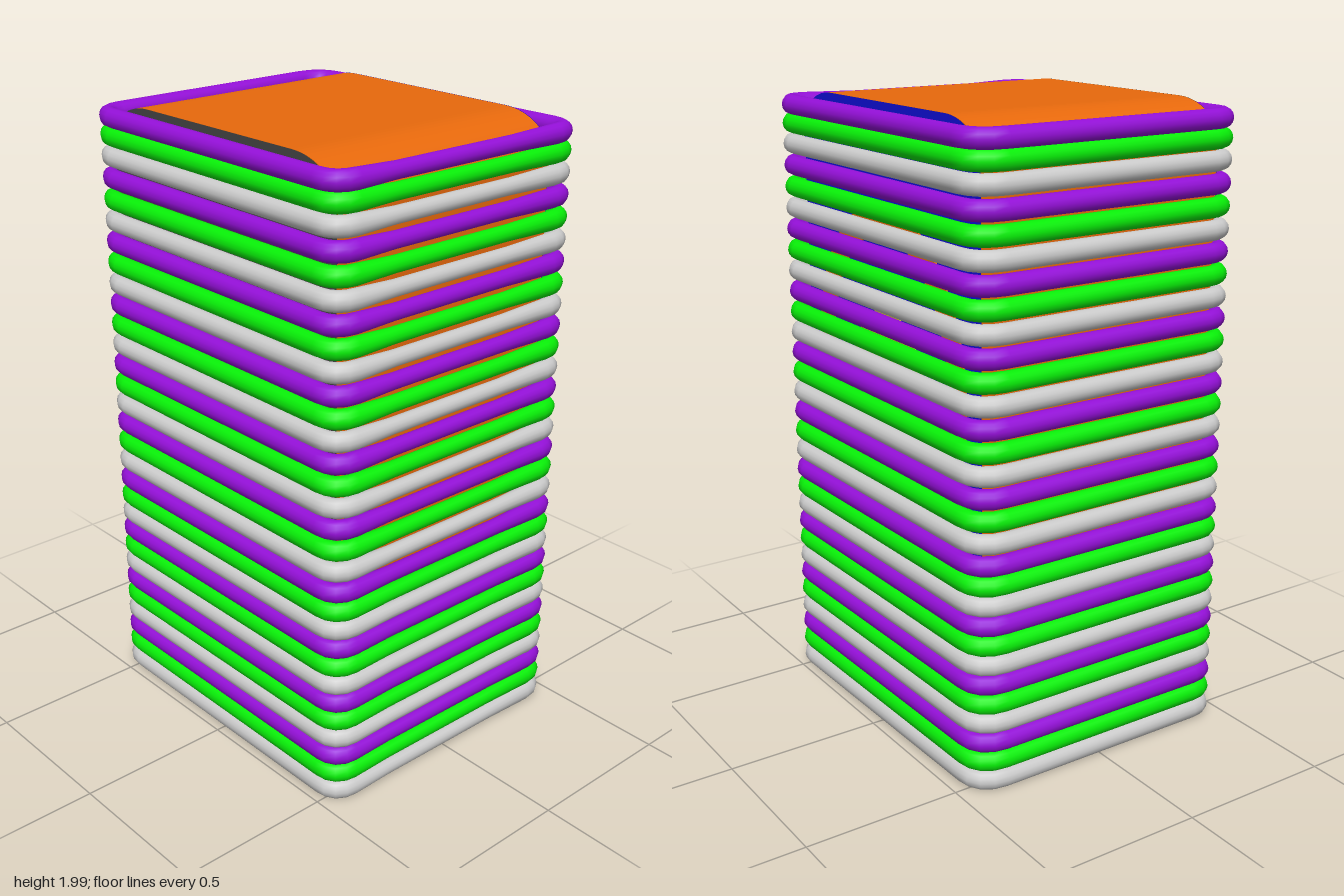
import * as THREE from 'three';

const mat = (color, extra = {}) => new THREE.MeshStandardMaterial({ color, ...extra });

// One closed loop of wire: a rounded rectangle path swept with a round section
function windingGeometry() {
  const corners = [ // x, z, rounding
    [-0.457, 0.536, 0.07], [0.458, 0.547, 0.07], [0.442, -0.547, 0.09], [-0.453, -0.547, 0.07],
  ];
  const path = [];
  corners.forEach(([x, z, r], i) => {
    const c = new THREE.Vector2(x, z);
    const next = corners[(i + 1) % 4], prev = corners[(i + 3) % 4];
    const toward = (o) => c.clone().add(new THREE.Vector2(o[0] - x, o[1] - z).setLength(r));
    const bend = new THREE.QuadraticBezierCurve(toward(prev), c, toward(next));
    bend.getPoints(4).forEach((p) => path.push({ p, s: 1 }));
    // the front run is slightly thinner along its middle
    if (i === 0) for (const m of [-0.25, 0.2]) path.push({ p: new THREE.Vector2(m, 0.543 + m * 0.012), s: 0.83 });
  });

  const sides = 14, n = path.length, pos = [], index = [];
  for (let i = 0; i < n; i++) {
    const { p, s } = path[i];
    const a = p.clone().sub(path[(i + n - 1) % n].p).normalize();
    const b = path[(i + 1) % n].p.clone().sub(p).normalize();
    const t = a.add(b).normalize();
    for (let j = 0; j < sides; j++) {
      const u = (j / sides) * Math.PI * 2;
      const out = 0.029 * s * Math.cos(u);
      pos.push(p.x - t.y * out, 0.031 * s * Math.sin(u), p.y + t.x * out);
      const i2 = (i + 1) % n, j2 = (j + 1) % sides;
      const q = [i * sides + j, i2 * sides + j, i2 * sides + j2, i * sides + j2];
      index.push(q[0], q[1], q[2], q[0], q[2], q[3]);
    }
  }
  const g = new THREE.BufferGeometry();
  g.setAttribute('position', new THREE.Float32BufferAttribute(pos, 3));
  g.setIndex(index);
  g.computeVertexNormals();
  return g;
}

// Rounded side profile of the core, drawn with shape x = -z
function coreProfile() {
  const w = 0.51, rx = 0.18, ry = 0.12, y0 = 0.01, y1 = 2;
  const s = new THREE.Shape();
  [[1, y0 + ry], [1, y1 - ry], [-1, y1 - ry], [-1, y0 + ry]].forEach(([side, y], i) => {
    s.absellipse(side * (w - rx), y, rx, ry, (i - 1) * Math.PI / 2, i * Math.PI / 2);
  });
  s.closePath();
  return s;
}

export function createModel() {
  const model = new THREE.Group();
  model.name = 'woundCore';
  const add = (name, geometry, material) => {
    const mesh = new THREE.Mesh(geometry, material);
    mesh.name = name;
    model.add(mesh);
    return mesh;
  };

  // Core block with its two end faces
  const profile = coreProfile();
  const orange = mat(0xe8690c);
  const body = new THREE.ExtrudeGeometry(profile, { depth: 0.835, bevelEnabled: false, curveSegments: 8 });
  body.rotateY(Math.PI / 2).translate(-0.43, 0, 0);
  add('coreBody', body, orange);

  const endFace = (name, x, color) => {
    const g = new THREE.ShapeGeometry(profile, 8);
    g.rotateY(Math.sign(x) * Math.PI / 2).translate(x, 0, 0);
    add(name, g, mat(color, { side: THREE.DoubleSide }));
  };
  endFace('rightEndFace', 0.407, 0x1010d8);
  endFace('leftEndFace', -0.432, 0x444444);

  // Low relief on the right end: a plain band around a small disc
  const band = new THREE.Shape().absellipse(0, 0, 0.44, 0.52, 0, Math.PI * 2);
  band.holes.push(new THREE.Path().absellipse(0, 0, 0.35, 0.43, 0, Math.PI * 2));
  const disc = new THREE.Shape().absarc(0, 0, 0.2, 0, Math.PI * 2);
  [['reliefBand', band, orange], ['reliefDisc', disc, mat(0xd8c810)]].forEach(([name, shape, m]) => {
    const g = new THREE.ExtrudeGeometry(shape, { depth: 0.006, bevelEnabled: false, curveSegments: 20 });
    g.rotateY(Math.PI / 2).translate(0.408, 1.18, 0);
    add(name, g, m);
  });

  // Thirty windings repeating grey, green, purple; looser in the upper half
  const wire = windingGeometry();
  const wireKinds = [
    ['greyWinding', mat(0xcccccc)], ['greenWinding', mat(0x08f008)], ['purpleWinding', mat(0x9410d8)],
  ];
  for (let i = 0; i < 30; i++) {
    const y = i < 12 ? 0.036 + i * 0.0632 : 0.731 + (i - 11) * 0.0687;
    const [name, material] = wireKinds[i % 3];
    add(name, wire, material).position.y = i === 29 ? 1.953 : Math.min(y, 1.895);
  }
  return model;
}
